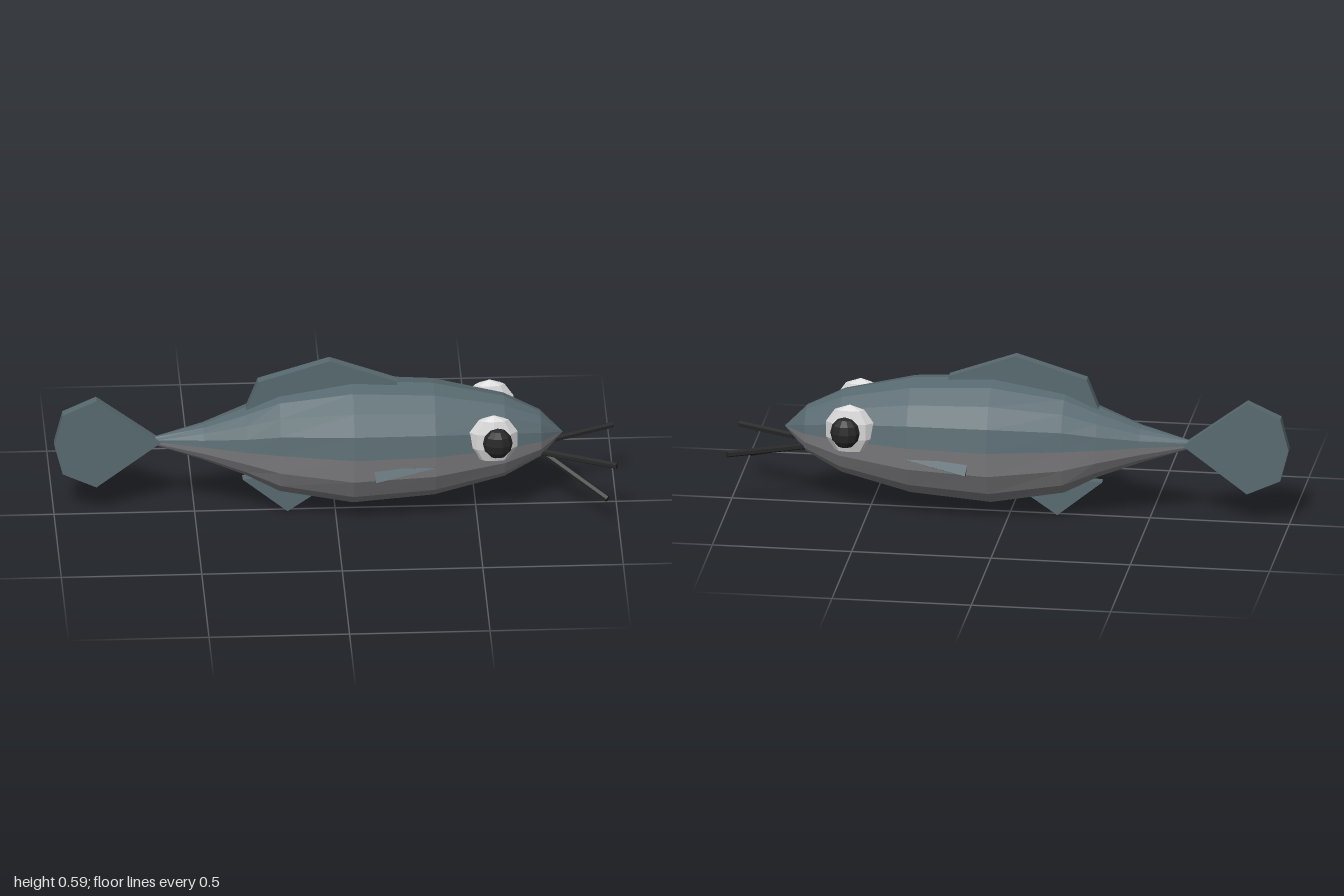
import * as THREE from 'three';

const mat = (name, color) => {
  const m = new THREE.MeshStandardMaterial({ color, flatShading: true });
  m.name = name;
  return m;
};

export function createModel() {
  const slate = mat('slate', 0x586a70);
  const belly = mat('bellyGrey', 0x808083);
  const white = mat('eyeWhite', 0xd8d8d8);
  const black = mat('black', 0x262626);
  const fish = new THREE.Group();
  fish.name = 'fish';
  const add = (name, geometry, material) => {
    const mesh = new THREE.Mesh(geometry, material);
    mesh.name = name;
    fish.add(mesh);
    return mesh;
  };

  // Body stations: x, height above midline, depth below midline, half width
  const midY = 0.283;
  const stations = [
    [-0.64, 0.018, 0.016, 0.012],
    [-0.47, 0.064, 0.073, 0.062],
    [-0.32, 0.125, 0.132, 0.113],
    [-0.2, 0.178, 0.198, 0.144],
    [0.06, 0.222, 0.243, 0.198],
    [0.35, 0.205, 0.22, 0.183],
    [0.6, 0.147, 0.158, 0.13],
    [0.73, 0.082, 0.088, 0.077],
    [0.81, 0, 0, 0],
  ];

  // Half shell of the body: eight facets from one side to the other
  function shell(upper) {
    const steps = 8, pos = [], index = [];
    stations.forEach(([x, up, down, w]) => {
      for (let j = 0; j <= steps; j++) {
        const t = Math.PI * (j / steps + (upper ? 0 : 1));
        pos.push(x, midY + (upper ? up : down) * Math.sin(t), w * Math.cos(t));
      }
    });
    for (let i = 0; i < stations.length - 1; i++) {
      for (let j = 0; j < steps; j++) {
        const a = i * (steps + 1) + j, b = a + steps + 1;
        index.push(a, b, b + 1, a, b + 1, a + 1);
      }
    }
    const g = new THREE.BufferGeometry();
    g.setAttribute('position', new THREE.Float32BufferAttribute(pos, 3));
    g.setIndex(index);
    g.computeVertexNormals();
    return g;
  }
  add('back', shell(true), slate);
  add('belly', shell(false), belly);

  // Flat fins cut from an outline in the x-y plane
  function plate(points, depth) {
    const shape = new THREE.Shape(points.map(([x, y]) => new THREE.Vector2(x, y)));
    const g = new THREE.ExtrudeGeometry(shape, { depth, bevelEnabled: false });
    g.translate(0, 0, -depth / 2);
    return g;
  }
  add('dorsalFin', plate([[-0.32, 0.4], [0.22, 0.46], [0.22, 0.505], [-0.02, 0.592], [-0.275, 0.515]], 0.037), slate);
  add('tailFin', plate([[-0.62, 0.283], [-0.85, 0.455], [-0.97, 0.4], [-1, 0.283], [-0.97, 0.167], [-0.85, 0.112]], 0.037), slate);
  add('analFin', plate([[-0.33, 0.13], [-0.17, 0], [-0.06, 0.075], [-0.1, 0.15]], 0.037), slate);

  for (const [side, s] of [['left', 1], ['right', -1]]) {
    // Eyes: flattened faceted balls
    const eye = add(side + 'Eye', new THREE.SphereGeometry(1, 8, 5), white);
    eye.scale.set(0.09, 0.095, 0.037);
    eye.position.set(0.557, 0.33, s * 0.142);
    const pupil = add(side + 'Pupil', new THREE.SphereGeometry(1, 10, 6), black);
    pupil.scale.set(0.053, 0.058, 0.037);
    pupil.position.set(0.57, 0.328, s * 0.172);

    // Pectoral fins: thin wedges leaning outward at the bottom
    const fin = add(side + 'PectoralFin', plate([[-0.12, 0.025], [-0.112, -0.025], [0.11, 0.025]], 0.024), slate);
    fin.position.set(0.248, 0.214, s * 0.181);
    fin.rotation.x = -s * 0.4;
  }

  // Whiskers: hexagonal rods
  function whisker(name, from, to) {
    const a = new THREE.Vector3(...from), b = new THREE.Vector3(...to);
    const d = b.clone().sub(a);
    const rod = add(name, new THREE.CylinderGeometry(0.012, 0.012, d.length(), 6), black);
    rod.position.copy(a).add(b).multiplyScalar(0.5);
    rod.quaternion.setFromUnitVectors(new THREE.Vector3(0, 1, 0), d.normalize());
  }
  whisker('leftWhisker', [0.72, 0.223, 0.033], [0.995, 0.223, 0.163]);
  whisker('rightWhisker', [0.72, 0.223, -0.033], [0.995, 0.223, -0.163]);
  whisker('lowerWhisker', [0.725, 0.216, 0.005], [0.96, 0.106, 0.19]);

  return fish;
}
